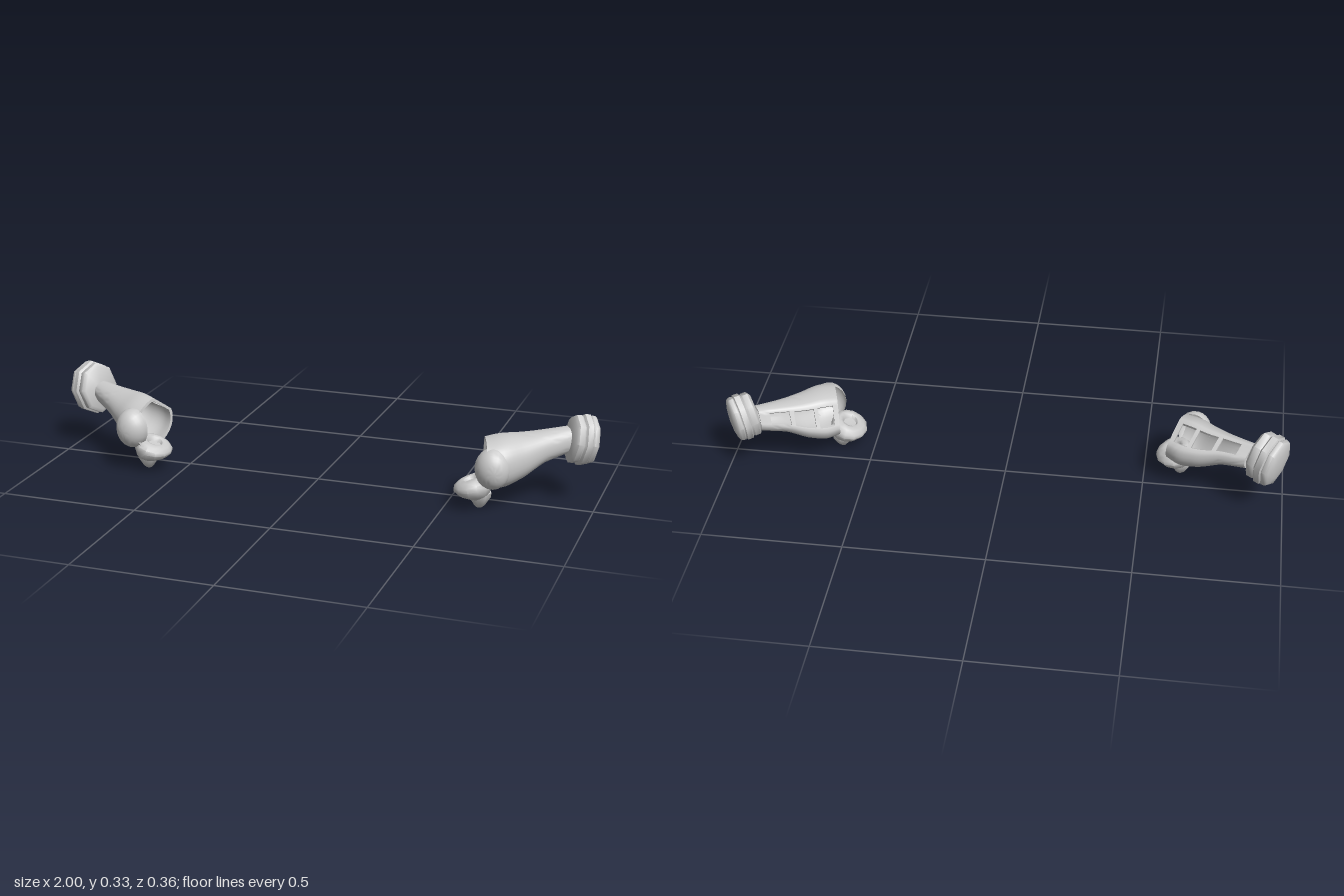
import * as THREE from 'three';
import { toCreasedNormals } from 'three/addons/utils/BufferGeometryUtils.js';

const V = (x, y, z) => new THREE.Vector3(x, y, z);
const material = new THREE.MeshStandardMaterial({ color: 0xcccccc, side: THREE.DoubleSide });

// Forearm frame: wrist point, direction towards the mouth, direction to the outer front
const WRIST = V(0.88, 0, -0.09);
const ALONG = V(-0.82, 0, 0.57).normalize();
const ACROSS = V(0.57, 0, 0.82).normalize();

// Cross-sections from wrist to mouth: (distance, half width, side shift) and (centre height, half height)
const widths = new THREE.CatmullRomCurve3([
  V(-0.005, 0.041, -0.004), V(0.09, 0.06, -0.007), V(0.17, 0.084, -0.006),
  V(0.245, 0.103, -0.003), V(0.3, 0.098, -0.008)]);
const heights = new THREE.CatmullRomCurve3([
  V(0.221, 0.046, 0), V(0.203, 0.056, 0), V(0.179, 0.077, 0), V(0.168, 0.089, 0), V(0.167, 0.082, 0)]);

const ROWS = 20, SIDES = 36, GAP = [12, 19];
const windows = [[2, 6], [7, 12], [13, 18]];

function shellPoint(i, j, thin) {
  const t = i / ROWS;
  const [u, w, c] = widths.getPoint(t).toArray();
  const [yc, v] = heights.getPoint(t).toArray();
  // Slightly squared oval
  const soft = (x) => Math.sign(x) * Math.abs(x) ** 0.88;
  const ring = (k) => {
    const a = (k / SIDES) * Math.PI * 2;
    return new THREE.Vector2(soft(Math.cos(a)) * w, soft(Math.sin(a)) * v);
  };
  // The windowed side is flat
  const q = j > GAP[0] && j < GAP[1]
    ? ring(GAP[0]).lerp(ring(GAP[1]), (j - GAP[0]) / (GAP[1] - GAP[0])) : ring(j);
  q.multiplyScalar(thin ? 0.88 : 1);
  const s = q.x + c;
  // The mouth is cut at a slant
  const p = WRIST.clone().addScaledVector(ALONG, u + 0.3 * t * s).addScaledVector(ACROSS, s);
  return p.setY(yc + q.y);
}

// Hollow wall with window cells left out and the cut edges closed
function shellGeometry() {
  const out = [];
  const quad = (a, b, c, d) => [a, b, c, a, c, d].forEach((p) => out.push(p.x, p.y, p.z));
  const solid = (i, j) => {
    if (i < 0 || i >= ROWS) return false;
    const k = (j + SIDES) % SIDES;
    return !(k >= GAP[0] + 1 && k < GAP[1] - 1 && windows.some(([a, b]) => i >= a && i < b));
  };
  for (let i = 0; i < ROWS; i++) for (let j = 0; j < SIDES; j++) {
    if (!solid(i, j)) continue;
    const corners = [[i, j], [i, j + 1], [i + 1, j + 1], [i + 1, j]];
    const o = corners.map(([r, k]) => shellPoint(r, k % SIDES, false));
    const n = corners.map(([r, k]) => shellPoint(r, k % SIDES, true));
    quad(o[0], o[1], o[2], o[3]);
    quad(n[3], n[2], n[1], n[0]);
    [[i - 1, j], [i, j + 1], [i + 1, j], [i, j - 1]].forEach(([r, k], e) => {
      const f = (e + 1) % 4;
      if (!solid(r, k)) quad(o[f], o[e], n[e], n[f]);
    });
  }
  const g = new THREE.BufferGeometry();
  g.setAttribute('position', new THREE.Float32BufferAttribute(out, 3));
  return g;
}

const lathe = (points, sides) =>
  new THREE.LatheGeometry(points.map(([r, y]) => new THREE.Vector2(r, y)), sides);

// Octagonal cuff of three stacked bands, domed on the outer end
function cuffGeometry(size) {
  const g = lathe([
    [0, -0.049], [0.068, -0.049], [0.079, -0.04], [0.079, -0.021], [0.076, -0.016],
    [0.084, -0.01], [0.084, 0.01], [0.078, 0.014], [0.081, 0.018], [0.079, 0.031],
    [0.072, 0.038], [0.045, 0.045], [0, 0.049]], 8);
  // Taller than it is wide
  g.scale(size * 0.93, size, size * 1.14);
  const axis = V(0.85, -0.15, -0.5).normalize();
  const side = V(0.5, 0, 0.85).normalize();
  g.applyMatrix4(new THREE.Matrix4().makeBasis(side, axis, side.clone().cross(axis)));
  return g.translate(0.935, 0.224, -0.098);
}

// Thick rounded cup with a shallow recess, tapering towards the middle of the model
function cupGeometry() {
  const g = lathe([
    [0, -0.042], [0.034, -0.039], [0.058, -0.025], [0.071, -0.002], [0.069, 0.014], [0.056, 0.028],
    [0.04, 0.033], [0.03, 0.03], [0.024, 0.018], [0, 0.015]], 12);
  const p = g.attributes.position;
  for (let i = 0; i < p.count; i++) p.setY(i, p.getY(i) * (1 + p.getX(i) * 5));
  g.scale(0.95, 1, 1.08);
  return g.rotateZ(0.2).translate(0.594, 0.078, 0.09);
}

// Blunt point below the cup
const pointGeometry = () =>
  lathe([[0, 0], [0.011, 0.002], [0.02, 0.011], [0.04, 0.042], [0.042, 0.058], [0.03, 0.07], [0, 0.074]], 8)
    .translate(0.618, 0, 0.083);

// Hollow dome that rounds off the outer front corner of the shell
function knuckleGeometry() {
  const g = new THREE.SphereGeometry(0.059, 20, 10, 0, Math.PI * 2, 0, Math.PI * 0.55);
  g.applyQuaternion(new THREE.Quaternion().setFromUnitVectors(V(0, 1, 0), V(0.3, -0.05, 0.95).normalize()));
  return g.scale(1.05, 1.25, 1).translate(0.67, 0.162, 0.123);
}

// Bakes the mirror image, keeping faces outward, then sharpens hard edges
function finish(geometry, mirrored) {
  const g = geometry.index ? geometry.toNonIndexed() : geometry;
  if (mirrored) {
    g.scale(-1, 1, 1);
    const p = g.attributes.position;
    const a = new THREE.Vector3(), b = new THREE.Vector3();
    for (let i = 0; i < p.count; i += 3) {
      a.fromBufferAttribute(p, i + 1);
      b.fromBufferAttribute(p, i + 2);
      p.setXYZ(i + 1, b.x, b.y, b.z);
      p.setXYZ(i + 2, a.x, a.y, a.z);
    }
  }
  return toCreasedNormals(g, 0.85);
}

function createArm(mirrored) {
  const arm = new THREE.Group();
  arm.name = mirrored ? 'rightArm' : 'leftArm';
  const add = (name, geometry) => {
    const mesh = new THREE.Mesh(finish(geometry, mirrored), material);
    mesh.name = name;
    arm.add(mesh);
  };
  const shell = shellGeometry();
  // The right forearm is rolled so its windows face up, and reaches slightly further in
  if (mirrored) {
    shell.translate(-0.74, -0.18, -0.02);
    shell.applyMatrix4(new THREE.Matrix4().makeRotationAxis(ALONG, -0.5));
    shell.translate(0.722, 0.172, 0.022);
  }
  add('forearmShell', shell);
  add('knuckle', knuckleGeometry());
  add('cuff', cuffGeometry(mirrored ? 1.06 : 0.97));
  const shift = mirrored ? 0.012 : 0;
  add('cup', cupGeometry().translate(shift, 0, 0));
  add('cupPoint', pointGeometry().translate(shift, 0, 0));
  return arm;
}

export function createModel() {
  const model = new THREE.Group();
  model.name = 'armGuards';
  model.add(createArm(false), createArm(true));
  return model;
}
